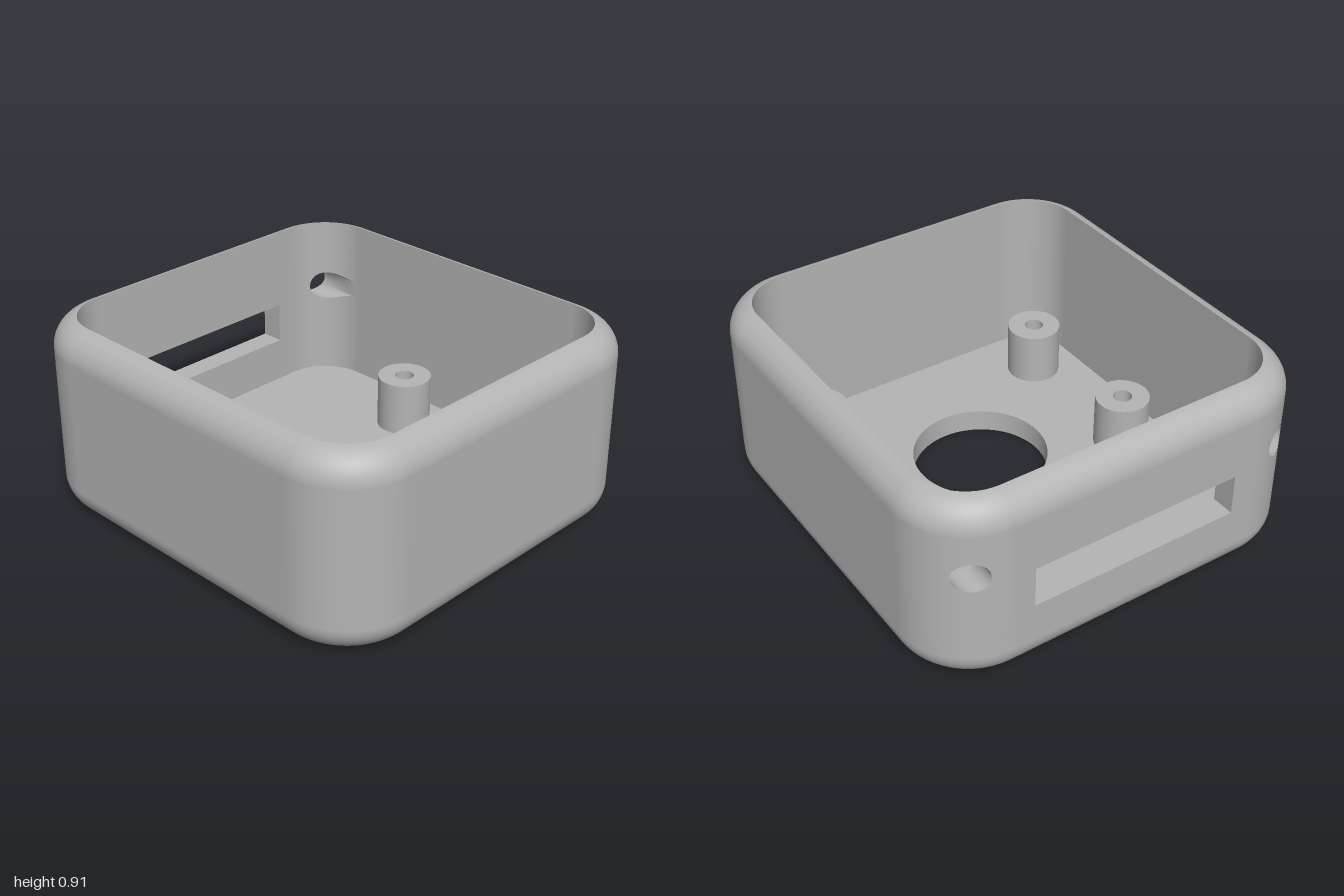
import * as THREE from 'three';
import { ParametricGeometry } from 'three/addons/geometries/ParametricGeometry.js';

const HX = 0.94, HZ = 1, R = 0.34;         // outer half sizes and corner radius
const T = 0.11, F = 0.14;                  // wall thickness, edge fillet
const Y0 = F, Y1 = 0.773;                  // straight part of the walls
const N = 12, RING = 4 * (N + 1);          // steps per corner, steps around
const lerp = THREE.MathUtils.lerp;

const material = new THREE.MeshStandardMaterial({ color: 0xb4b4b4, side: THREE.DoubleSide });
material.name = 'grey plastic';

// Point on the rounded outline; k counts steps, N per corner and one per straight side
function outline(k, inset, y, target) {
  k = ((k % RING) + RING) % RING;
  const r = R - inset;
  const c = Math.floor(k / (N + 1)), f = k - c * (N + 1);
  const at = (corner, step) => {
    const a = (corner + step / N) * Math.PI / 2;
    const sx = corner % 4 === 0 || corner % 4 === 3 ? 1 : -1, sz = corner % 4 < 2 ? 1 : -1;
    return [sx * (HX - R) + r * Math.cos(a), sz * (HZ - R) + r * Math.sin(a)];
  };
  if (f <= N) {
    const [x, z] = at(c, f);
    return target.set(x, y, z);
  }
  const p = at(c, N), q = at(c + 1, 0);
  return target.set(lerp(p[0], q[0], f - N), y, lerp(p[1], q[1], f - N));
}

// Surface swept round the outline; profile(v) gives [inset, y]
function sweep(profile, stacks, start = 0, count = RING) {
  return new ParametricGeometry((u, v, t) => {
    const [inset, y] = profile(v);
    outline(start + u * count, inset, y, t);
  }, count, stacks);
}
const line = (a, b) => v => [lerp(a[0], b[0], v), lerp(a[1], b[1], v)];

// Even walk round a square, used for the edge of the pierced corner patches
const square = c => THREE.MathUtils.clamp(Math.asin(THREE.MathUtils.clamp(c, -1, 1)) / (Math.PI / 4), -1, 1);

// Back corner point from angle and height
function cornerPoint(side, inset, phi, y, t) {
  const r = R - inset;
  return t.set(side * (HX - R + r * Math.cos(phi)), y, -(HZ - R + r * Math.sin(phi)));
}

// Edge of the round hole, drilled along z, as angle and height on a back corner
function holeEdge(inset, a) {
  const x = 0.77 + 0.07 * Math.cos(a);
  return [Math.acos(Math.min(0.995, (x - HX + R) / (R - inset))), 0.57 + 0.07 * Math.sin(a)];
}

function cornerPatch(side, inset) {
  return new ParametricGeometry((u, v, t) => {
    const a = u * Math.PI * 2, [phi, y] = holeEdge(inset, a);
    const edgePhi = Math.PI / 4 * (1 - square(Math.cos(a)));
    const edgeY = lerp(Y0, Y1, (1 + square(Math.sin(a))) / 2);
    cornerPoint(side, inset, lerp(phi, edgePhi, v), lerp(y, edgeY, v), t);
  }, 4 * N, 8);
}

function holeWall(side) {
  const p = new THREE.Vector3(), q = new THREE.Vector3();
  return new ParametricGeometry((u, v, t) => {
    const a = u * Math.PI * 2;
    cornerPoint(side, 0, ...holeEdge(0, a), p);
    cornerPoint(side, T, ...holeEdge(T, a), q);
    t.lerpVectors(p, q, v);
  }, 4 * N, 1);
}

function rectangle(PathType, x0, y0, x1, y1) {
  return new PathType([[x0, y0], [x1, y0], [x1, y1], [x0, y1]].map(p => new THREE.Vector2(...p)));
}

export function createModel() {
  const model = new THREE.Group();
  model.name = 'enclosure';
  const add = (parent, name, geometry) => {
    const mesh = new THREE.Mesh(geometry, material);
    mesh.name = name;
    parent.add(mesh);
    return mesh;
  };

  // Rounded rim and lower edge
  const rimAngle = Math.acos((F - T) / F), top = Y1 + F * Math.sin(rimAngle);
  add(model, 'rim', sweep(v => {
    const a = rimAngle * (1 - v);
    return [F * (1 - Math.cos(a)), Y1 + F * Math.sin(a)];
  }, 12));
  add(model, 'lowerEdge', sweep(v => {
    const a = v * Math.PI / 2;
    return [F * (1 - Math.cos(a)), F - F * Math.sin(a)];
  }, 12));

  // Front and side walls, outside and inside
  const start = 4 * N + 3, count = 2 * N + 3;
  add(model, 'outerWall', sweep(line([0, Y1], [0, Y0]), 1, start, count));
  add(model, 'innerWall', sweep(line([T, Y0], [T, Y1]), 1, start, count));
  add(model, 'innerWallTop', sweep(line([T, Y1], [T, top]), 1));
  add(model, 'innerWallBase', sweep(line([T, T], [T, Y0]), 1));
  add(model, 'floorBorder', sweep(line([F, T], [T, T]), 1));

  // Back corners with round holes
  for (const side of [1, -1]) {
    const corner = new THREE.Group();
    corner.name = side > 0 ? 'leftBackCorner' : 'rightBackCorner';
    add(corner, 'outerCorner', cornerPatch(side, 0));
    add(corner, 'innerCorner', cornerPatch(side, T));
    add(corner, 'cableHole', holeWall(side));
    model.add(corner);
  }

  // Back panel with a wide slot
  const back = rectangle(THREE.Shape, -(HX - R), Y0, HX - R, Y1);
  back.holes.push(rectangle(THREE.Path, -0.505, 0.325, 0.505, 0.52));
  add(model, 'backPanel', new THREE.ExtrudeGeometry(back, { depth: T, bevelEnabled: false }))
    .position.z = -HZ;

  // Floor with a large round opening
  const p = new THREE.Vector3(), points = [];
  for (let k = 0; k < RING; k++) {
    outline(k, F, 0, p);
    points.push(new THREE.Vector2(p.x, -p.z));
  }
  const floor = new THREE.Shape(points);
  floor.holes.push(new THREE.Path().absarc(0, -0.17, 0.315, 0, Math.PI * 2));
  add(model, 'floor', new THREE.ExtrudeGeometry(floor, { depth: T, bevelEnabled: false, curveSegments: 36 })
    .rotateX(-Math.PI / 2));

  // Four hollow screw posts
  const height = 0.365 - T, outer = 0.127, bore = 0.045;
  for (const x of [-0.6, 0.6]) for (const z of [-0.12, 0.6]) {
    const post = new THREE.Group();
    post.name = 'screwPost';
    post.position.set(x, T, z);
    add(post, 'postWall', new THREE.CylinderGeometry(outer, outer, height, 40, 1, true)).position.y = height / 2;
    add(post, 'postBore', new THREE.CylinderGeometry(bore, bore, height, 24, 1, true)).position.y = height / 2;
    add(post, 'postTop', new THREE.RingGeometry(bore, outer, 40).rotateX(-Math.PI / 2)).position.y = height;
    model.add(post);
  }
  return model;
}
